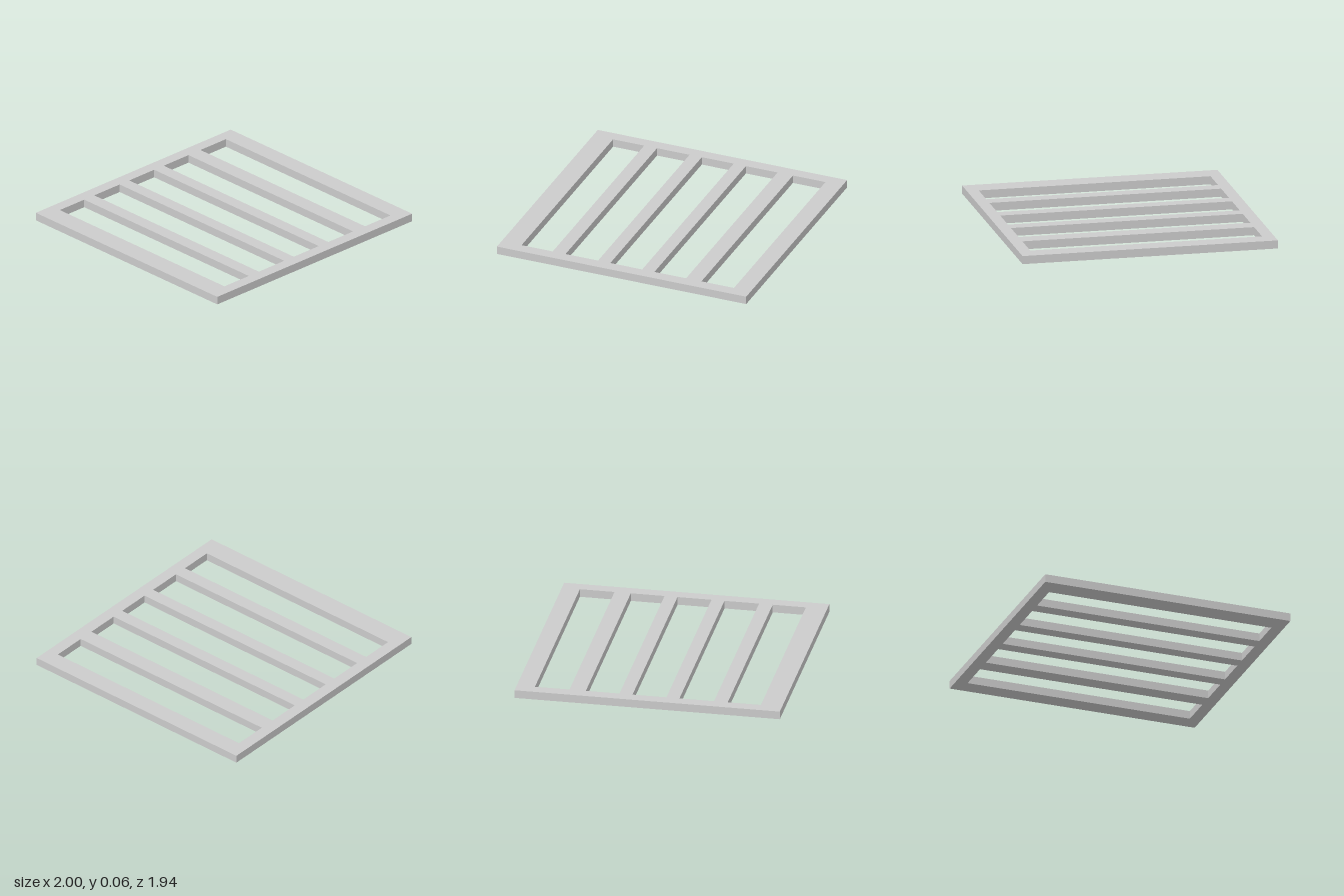
import * as THREE from 'three';

// Closed rectangle outline between two corners
function rect(Type, x0, x1, halfDepth) {
  const path = new Type();
  path.moveTo(x0, -halfDepth);
  path.lineTo(x1, -halfDepth);
  path.lineTo(x1, halfDepth);
  path.lineTo(x0, halfDepth);
  path.closePath();
  return path;
}

export function createModel() {
  const group = new THREE.Group();
  const thickness = 0.062;

  // Flat panel with five long slots, leaving a frame and four bars
  const outline = rect(THREE.Shape, -1, 1, 0.97);
  const slots = [[-0.84, -0.59], [-0.487, -0.226], [-0.128, 0.128], [0.226, 0.48], [0.603, 0.864]];
  for (const [x0, x1] of slots) outline.holes.push(rect(THREE.Path, x0, x1, 0.88));

  const geometry = new THREE.ExtrudeGeometry(outline, { depth: thickness, bevelEnabled: false });
  geometry.rotateX(-Math.PI / 2);

  const panel = new THREE.Mesh(geometry, new THREE.MeshStandardMaterial({ color: 0xcccccc, flatShading: true }));
  panel.name = 'slottedPanel';
  group.add(panel);
  return group;
}
